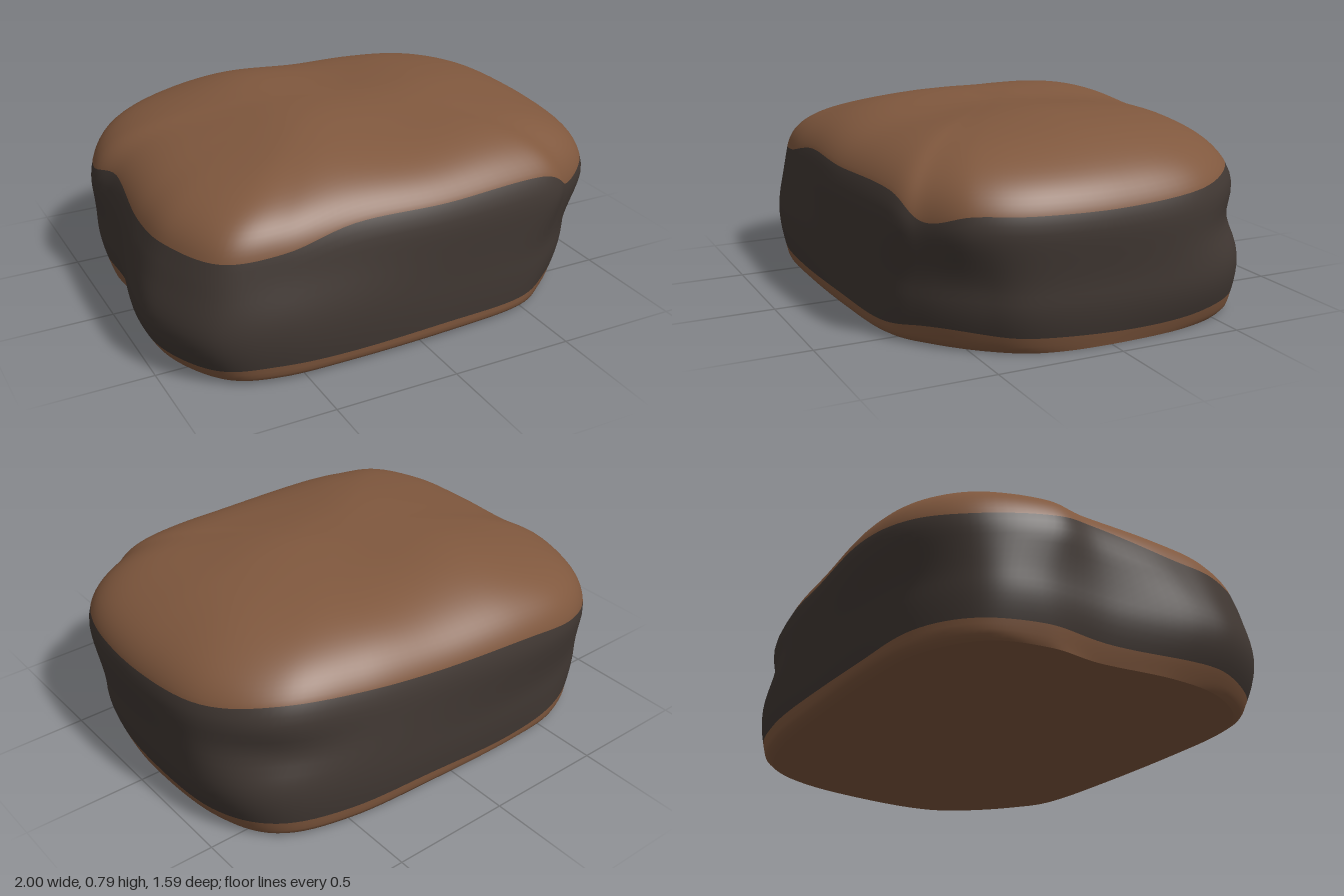
import * as THREE from 'three';

// Stations around the rock: foot x,z | lower bulge x,z | shoulder x,z | height of the upper colour border
const STATIONS = [
  [0.92, 0, 0.97, 0, 0.995, -0.02, 0.53],
  [0.89, 0.28, 0.94, 0.32, 0.97, 0.33, 0.53],
  [0.79, 0.46, 0.84, 0.49, 0.88, 0.54, 0.53],
  [0.63, 0.62, 0.67, 0.645, 0.72, 0.655, 0.49],
  [0.46, 0.72, 0.47, 0.735, 0.57, 0.735, 0.575],
  [0.10, 0.755, 0.10, 0.77, 0.10, 0.775, 0.58],
  [-0.30, 0.765, -0.30, 0.79, -0.30, 0.76, 0.575],
  [-0.60, 0.75, -0.60, 0.785, -0.58, 0.745, 0.52],
  [-0.78, 0.67, -0.84, 0.71, -0.81, 0.68, 0.50],
  [-0.90, 0.45, -0.98, 0.50, -0.93, 0.45, 0.50],
  [-0.92, 0.20, -1.00, 0.28, -0.95, 0.20, 0.50],
  [-0.875, -0.12, -0.93, -0.10, -0.935, -0.14, 0.54],
  [-0.88, -0.35, -0.92, -0.40, -0.95, -0.35, 0.50],
  [-0.80, -0.58, -0.83, -0.60, -0.84, -0.61, 0.47],
  [-0.58, -0.72, -0.60, -0.73, -0.62, -0.76, 0.50],
  [-0.30, -0.75, -0.30, -0.77, -0.31, -0.80, 0.54],
  [0.10, -0.74, 0.10, -0.76, 0.10, -0.765, 0.55],
  [0.50, -0.71, 0.50, -0.735, 0.45, -0.725, 0.57],
  [0.77, -0.61, 0.805, -0.635, 0.77, -0.63, 0.585],
  [0.89, -0.37, 0.95, -0.40, 0.95, -0.38, 0.55],
];
const COLS = 160, FOOT_ROWS = 5, SIDE_ROWS = 14, CAP_ROWS = 22;

const loop = (pick) => new THREE.CatmullRomCurve3(
  STATIONS.map((s) => new THREE.Vector3(...pick(s))), true, 'catmullrom', 0.5);
const footCurve = loop((s) => [s[0], 0, s[1]]);
const bulgeCurve = loop((s) => [s[2], 0, s[3]]);
const shoulderCurve = loop((s) => [s[4], 0, s[5]]);
const borderCurve = loop((s) => [s[6], 0, 0]);

const CAP_START = 0.42, CAP_HEIGHT = 0.37;
const { clamp, smoothstep } = THREE.MathUtils;
const capLevel = (y) => clamp((y - CAP_START) / CAP_HEIGHT, 0, 1);

// Surface point at loop position u and height y
function surfacePoint(u, y) {
  const p = footCurve.getPoint(u);
  p.lerp(bulgeCurve.getPoint(u), Math.sin(Math.min(y / 0.22, 1) * Math.PI / 2));
  p.lerp(shoulderCurve.getPoint(u), smoothstep(y, 0.22, 0.5));
  // Rounded lip where the front and back meet the ground
  p.z *= 1 - 0.05 * Math.pow(Math.max(0, 1 - y / 0.03), 2);
  // Hollow in the back corner on the +x side
  const corner = Math.hypot(p.x - 0.8, p.z + 0.64) / 0.25;
  p.multiplyScalar(1 - 0.035 * Math.exp(-corner * corner - Math.pow((y - 0.38) / 0.09, 2)));
  // Rounded cap, leaning in on the -x side
  const h = capLevel(y);
  p.multiplyScalar(Math.pow(Math.max(0, 1 - Math.pow(h, 2.8)), 1 / 2.8));
  p.x += 0.06 * h * smoothstep(-p.x, 0.4, 0.9);
  // Gentle swells on the top
  const swell = 0.008 * Math.cos((p.x + 0.25) * 9.6)
    - 0.03 * smoothstep(-p.x, 0.25, 0.8)
    + 0.022 * Math.exp(-Math.pow((p.x - 0.7) / 0.18, 2))
    - 0.015 * smoothstep(p.z, 0, 0.4)
    + 0.004 * Math.sin(p.z * 9 + p.x * 4);
  p.y = y + swell * h * h;
  return p;
}

function buildBody(materials) {
  const positions = [], index = [];
  const rows = FOOT_ROWS + SIDE_ROWS + CAP_ROWS;
  for (let r = 0; r <= rows; r++) {
    for (let c = 0; c < COLS; c++) {
      const u = c / COLS, a = u * Math.PI * 2;
      const low = 0.071 - 0.008 * Math.cos(a * 4) * (1 + Math.cos(a)) + 0.004 * Math.sin(a * 9);
      const high = borderCurve.getPoint(u).x;
      let y;
      if (r <= FOOT_ROWS) y = low * Math.pow(r / FOOT_ROWS, 1.5);
      else if (r <= FOOT_ROWS + SIDE_ROWS) y = low + (high - low) * (r - FOOT_ROWS) / SIDE_ROWS;
      else {
        const t = (r - FOOT_ROWS - SIDE_ROWS) / CAP_ROWS;
        const start = Math.asin(capLevel(high));
        y = CAP_START + CAP_HEIGHT * Math.sin(start + (Math.PI / 2 - start) * t);
      }
      const p = surfacePoint(u, y);
      positions.push(p.x, p.y, p.z);
    }
  }
  for (let r = 0; r < rows; r++) {
    for (let c = 0; c < COLS; c++) {
      const a = r * COLS + c, b = r * COLS + (c + 1) % COLS;
      index.push(a, a + COLS, b, b, a + COLS, b + COLS);
    }
  }
  const geo = new THREE.BufferGeometry();
  geo.setAttribute('position', new THREE.Float32BufferAttribute(positions, 3));
  geo.setIndex(index);
  geo.computeVertexNormals();
  // The closing row at the summit faces straight up
  for (let c = 0; c < COLS; c++) geo.attributes.normal.setXYZ(rows * COLS + c, 0, 1, 0);
  // Brown foot, dark side band, brown cap
  const per = COLS * 6;
  geo.addGroup(0, FOOT_ROWS * per, 0);
  geo.addGroup(FOOT_ROWS * per, SIDE_ROWS * per, 1);
  geo.addGroup((FOOT_ROWS + SIDE_ROWS) * per, CAP_ROWS * per, 0);
  const mesh = new THREE.Mesh(geo, materials);
  mesh.name = 'rockBody';
  return mesh;
}

export function createModel() {
  const brown = new THREE.MeshStandardMaterial({ color: 0x80583e });
  brown.name = 'earth brown';
  const dark = new THREE.MeshStandardMaterial({ color: 0x413833 });
  dark.name = 'dark stone';

  const model = new THREE.Group();
  model.name = 'rock';
  model.add(buildBody([brown, dark]));

  // Flat underside
  const outline = [];
  for (let c = 0; c < COLS; c++) {
    const p = surfacePoint(c / COLS, 0);
    outline.push(new THREE.Vector2(p.x, p.z));
  }
  const under = new THREE.Mesh(new THREE.ShapeGeometry(new THREE.Shape(outline)), brown);
  under.rotation.x = Math.PI / 2;
  under.name = 'underside';
  model.add(under);
  return model;
}
